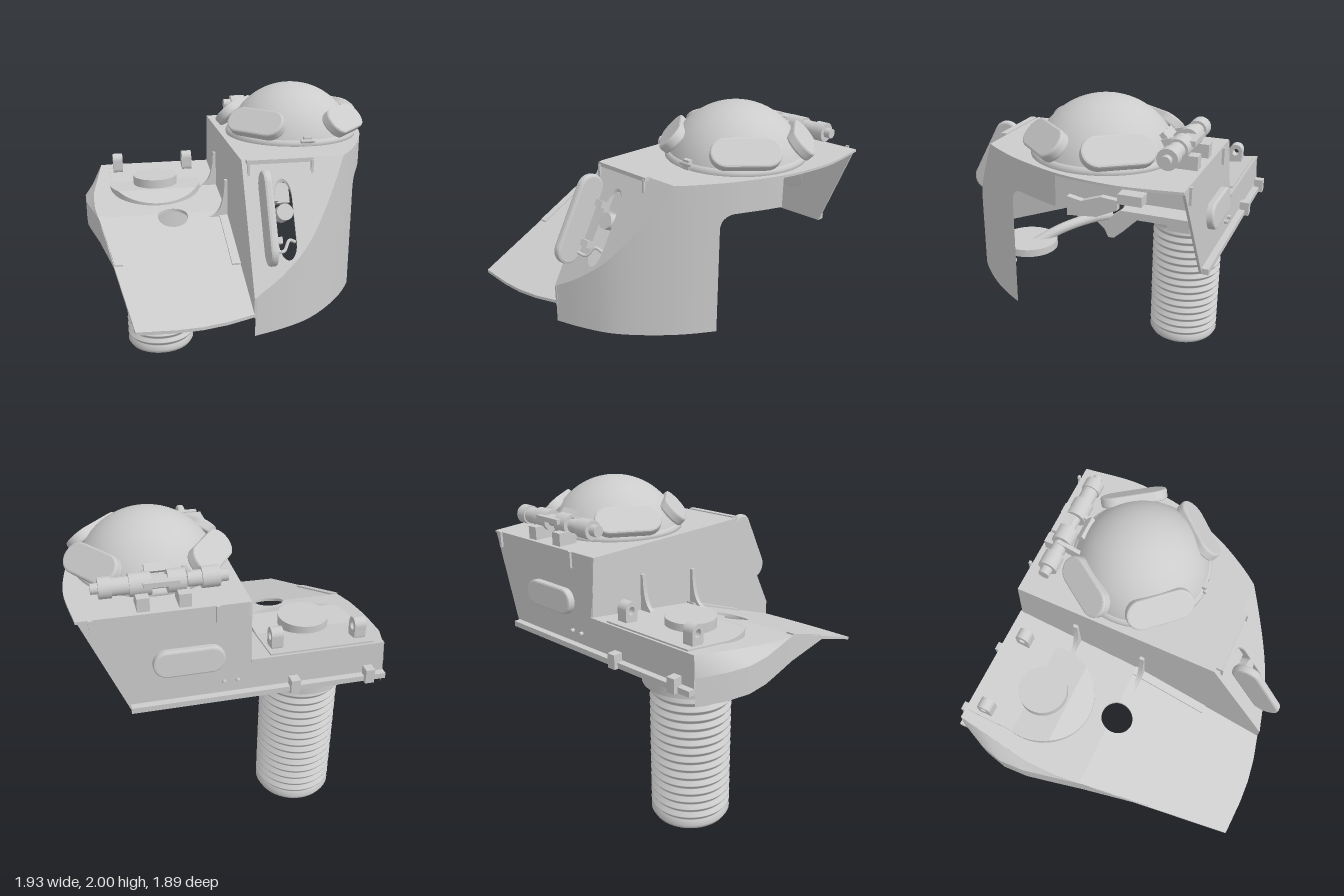
import * as THREE from 'three';

const mat = new THREE.MeshStandardMaterial({ color: 0xcccccc, side: THREE.DoubleSide });
const V = (x, y, z) => new THREE.Vector3(x, y, z);

export function createModel() {
  const root = new THREE.Group();

  const add = (name, geo, x = 0, y = 0, z = 0, rx = 0, ry = 0, rz = 0) => {
    const m = new THREE.Mesh(geo, mat);
    m.name = name;
    m.position.set(x, y, z);
    m.rotation.set(rx, ry, rz);
    root.add(m);
    return m;
  };
  const box = (name, w, h, d, x, y, z, rx = 0) =>
    add(name, new THREE.BoxGeometry(w, h, d), x, y, z, rx);
  const cyl = (name, r, h, x, y, z, rx = 0, rz = 0) =>
    add(name, new THREE.CylinderGeometry(r, r, h, 40), x, y, z, rx, 0, rz);
  const tube = (name, pts, r) =>
    add(name, new THREE.TubeGeometry(new THREE.CatmullRomCurve3(pts.map(p => V(...p))), 20, r, 10));

  // Plate drawn in plan as [x, z] points, its top raised to f(z)
  const plate = (name, pts, t, f, holes = []) => {
    const shape = new THREE.Shape(pts.map(([x, z]) => new THREE.Vector2(x, -z)));
    shape.holes = holes;
    const g = new THREE.ExtrudeGeometry(shape, { depth: t, bevelEnabled: false, curveSegments: 24 });
    g.rotateX(-Math.PI / 2);
    const p = g.attributes.position;
    for (let i = 0; i < p.count; i++) p.setY(i, p.getY(i) - t + f(p.getZ(i)));
    g.computeVertexNormals();
    return add(name, g);
  };
  // Plate drawn in the side plane as [z, y] points, thickness along x
  const sidePlate = (name, pts, t, x) => {
    const shape = new THREE.Shape(pts.map(([z, y]) => new THREE.Vector2(-z, y)));
    const g = new THREE.ExtrudeGeometry(shape, { depth: t, bevelEnabled: false });
    return add(name, g.rotateY(Math.PI / 2), x);
  };
  // Open skin through rows of [x, y, z] points
  const skin = (name, rows) => {
    const n = rows[0].length, idx = [];
    for (let i = 0; i + 1 < rows.length; i++)
      for (let j = 0; j + 1 < n; j++) {
        const a = i * n + j, b = a + n;
        idx.push(a, b, a + 1, b, b + 1, a + 1);
      }
    const g = new THREE.BufferGeometry();
    g.setAttribute('position', new THREE.Float32BufferAttribute(rows.flat(2), 3));
    g.setIndex(idx);
    g.computeVertexNormals();
    return add(name, g);
  };
  // Rounded slot outline, long axis along x (or y when upright)
  const slot = (Kind, cx, cy, len, w, upright = false) => {
    const r = w / 2, h = len / 2 - r, s = new Kind(), q = upright ? Math.PI / 2 : 0;
    const ux = upright ? 0 : h, uy = upright ? h : 0;
    s.absarc(cx + ux, cy + uy, r, q - Math.PI / 2, q + Math.PI / 2, false);
    s.absarc(cx - ux, cy - uy, r, q + Math.PI / 2, q + Math.PI * 1.5, false);
    s.closePath();
    return s;
  };
  const capsule = (len, w, d, bevel = 0.012) => new THREE.ExtrudeGeometry(
    slot(THREE.Shape, 0, 0, len - 2 * bevel, w - 2 * bevel),
    { depth: d - 2 * bevel, bevelSize: bevel, bevelThickness: bevel, bevelSegments: 2, curveSegments: 16 }
  ).translate(0, 0, bevel - d / 2);
  const range = (a, b, n) => Array.from({ length: n + 1 }, (_, i) => a + (b - a) * i / n);
  const arc = (cx, cz, r, a, b) => range(a, b, 32).map(t => [cx + r * Math.cos(t), cz + r * Math.sin(t)]);

  // Plan outline of the cabin's curved side
  const outline = new THREE.CatmullRomCurve3([
    [-0.03, 0.88], [0.15, 0.82], [0.34, 0.725], [0.59, 0.49], [0.75, 0.26], [0.83, 0.1],
    [0.91, -0.1], [0.95, -0.3], [0.965, -0.5], [0.925, -0.84]
  ].map(([x, z]) => V(x, 0, z))).getPoints(150);
  const sideX = z => {
    const i = Math.max(1, outline.findIndex(p => p.z <= z)), a = outline[i - 1], b = outline[i];
    return a.x + (b.x - a.x) * THREE.MathUtils.clamp((a.z - z) / (a.z - b.z), 0, 1);
  };
  const ROOF = 1.665;
  const slope = z => 0.95 + (0.88 - z) * (ROOF - 0.95) / 0.4;

  // Cabin wall, with a stepped and rounded lower edge
  const bottom = z => z >= 0.26 ? 0.705 : z > 0.18 ? 1.39 + Math.sqrt(0.0064 - (z - 0.18) ** 2) : 1.47;
  const zs = [...range(0.88, 0.48, 30), ...range(0.47, 0.26, 10), ...range(0.2599, 0.18, 8), ...range(0.17, -0.1, 10)];
  skin('cabinWall', zs.map(z => [[sideX(z), bottom(z), z], [sideX(z), Math.min(ROOF, slope(z)), z]]));

  // Sloped front with its viewing slot, and the roof with the dome opening
  plate('slopedFront', [[-0.03, 0.48], ...range(0.48, 0.879, 24).map(z => [sideX(z), z]), [-0.03, 0.88]],
    0.02, slope, [slot(THREE.Path, 0.195, -0.66, 0.24, 0.11, true)]);
  const ring = new THREE.Path();
  ring.absarc(0.445, 0.21, 0.41, 0, Math.PI * 2);
  plate('roof', [[-0.03, 0.48], ...range(0.48, -0.83, 40).map(z => [sideX(z), z]), [-0.03, -0.83]],
    0.015, () => ROOF, [ring]);

  // Inner side wall, meeting the deck
  sidePlate('innerWall', [[0.48, ROOF], [0.88, 0.95], [0.88, 0.82], [-0.03, 1.15], [-0.2, 1.14], [-0.875, 1.1], [-0.83, ROOF]], 0.015, -0.035);

  // Leaning back wall with the strip behind the deck
  const back = new THREE.ExtrudeGeometry(new THREE.Shape([
    [-0.85, 1.09], [0.67, 1.09], [0.92, ROOF], [-0.03, ROOF], [-0.03, 1.3], [-0.84, 1.3]
  ].map(p => new THREE.Vector2(...p))), { depth: 0.015, bevelEnabled: false });
  const bp = back.attributes.position;
  for (let i = 0; i < bp.count; i++) bp.setZ(i, bp.getZ(i) - 0.88 + (bp.getY(i) - 1.1) * 0.09);
  add('backWall', back);
  box('backRail', 1.52, 0.035, 0.05, -0.09, 1.105, -0.895);
  add('backHatch', capsule(0.41, 0.16, 0.06), 0.33, 1.36, -0.87, 0.09);
  for (const x of [-0.74, -0.28]) box('railBracket', 0.055, 0.09, 0.06, x, 1.13, -0.915);
  for (const x of [0.05, 0.13]) cyl('bolt', 0.012, 0.03, x, 1.19, -0.88, Math.PI / 2);
  for (const x of [0.16, 0.85]) box('roofStrap', 0.02, 0.1, 0.015, x, 1.62, -0.845);

  // Deck: steep front part and gentler rear part, sharing a round hole
  const deckY = z => 1.18 - (z + 0.03) * (z > -0.03 ? 0.364 : 0.155);
  plate('deckFront', [[-0.73, 0.935], [-0.5, 0.945], [-0.35, 0.94], [-0.2, 0.92], [-0.03, 0.88], [-0.03, -0.03],
    ...arc(-0.4, 0, 0.1, -0.305, Math.PI + 0.305), [-0.89, -0.03]], 0.02, deckY);
  plate('deckRear', [[-0.89, -0.03], ...arc(-0.4, 0, 0.1, Math.PI + 0.305, Math.PI * 2 - 0.305), [-0.03, -0.03],
    [-0.03, -0.87], [-0.84, -0.87], [-0.91, -0.39], [-0.91, -0.2]], 0.02, deckY);
  plate('deckPanel', [[-0.78, -0.4], [-0.15, -0.4], [-0.15, -0.85], [-0.78, -0.85]], 0.02, z => deckY(z) + 0.01);
  plate('edgeRail', [[-0.81, 0.42], [-0.76, 0.42], [-0.84, -0.03], [-0.89, -0.03]], 0.03, z => deckY(z) + 0.01);
  plate('wallStep', [[-0.09, -0.03], [-0.03, -0.03], [-0.03, 0.48], [-0.09, 0.48]], 0.03, z => deckY(z) + 0.012);

  // Side skirt: shoulder and curved drop below the deck edge
  const edge = [[-0.89, 1.18, -0.03, -0.89], [-0.91, 1.206, -0.2, -0.925], [-0.91, 1.236, -0.39, -0.962],
    [-0.887, 1.26, -0.55, -0.968], [-0.865, 1.284, -0.7, -0.93], [-0.84, 1.31, -0.87, -0.85]];
  skin('skirtShoulder', edge.map(([x, y, z, o]) => [[x, y, z], [o, 1.18, z]]));
  skin('skirt', [[[-0.80, 1.0, 0.45], [-0.80, 0.98, 0.45]],
    ...edge.map(([, , z, o]) => [[o, 1.18, z], [o, 1.01, z]])]);

  // Turntable drum, bevelled at the front, with a cap
  plate('turntable', arc(-0.47, -0.48, 0.32, Math.PI - 0.56, Math.PI * 2 + 0.56), 0.1, () => 1.27);
  plate('turntableBevel', arc(-0.47, -0.48, 0.32, 0.56, Math.PI - 0.56), 0.1, z => 1.27 - (z + 0.31) * 0.364);
  cyl('turntableCap', 0.155, 0.09, -0.47, 1.285, -0.48);

  // Lifting eyes
  for (const x of [-0.72, -0.21]) {
    const eye = slot(THREE.Shape, 0, 0, 0.15, 0.09, true);
    eye.holes.push(slot(THREE.Path, 0, 0.02, 0.05, 0.045, true));
    const g = new THREE.ExtrudeGeometry(eye, { depth: 0.07, bevelEnabled: false }).translate(0, 0, -0.035).rotateY(Math.PI / 2);
    add('liftingEye', g, x, 1.35, -0.74);
  }

  // Curved gussets between deck and inner wall
  for (const [z, y0, y1] of [[-0.46, 1.24, 1.48], [0, 1.16, 1.41]]) {
    const s = new THREE.Shape();
    s.moveTo(-0.18, y0);
    s.bezierCurveTo(-0.1, y0, -0.06, y0 + 0.05, -0.055, y1);
    s.lineTo(-0.03, y1);
    s.lineTo(-0.03, y0);
    add('gusset', new THREE.ExtrudeGeometry(s, { depth: 0.03, bevelEnabled: false }), 0, 0, z);
  }

  // Threaded hollow column and collar
  const prof = [[0.2, 0.93], [0.2, 0.02], [0.215, 0], [0.232, 0], [0.25, 0.03]];
  for (let y = 0.06; y < 0.9; y += 0.056) prof.push([0.23, y], [0.23, y + 0.006], [0.25, y + 0.028], [0.25, y + 0.034]);
  prof.push([0.23, 0.93]);
  add('column', new THREE.LatheGeometry(prof.map(p => new THREE.Vector2(...p)), 48), -0.47, 0, -0.48);
  cyl('collar', 0.295, 0.28, -0.47, 1.07, -0.48);
  box('collarBox', 0.1, 0.14, 0.16, -0.2, 1.0, -0.5);
  cyl('skirtKnob', 0.035, 0.07, -0.82, 0.97, -0.5, 0, Math.PI / 2);

  // Dome on its base ring
  const R = 0.44;
  add('dome', new THREE.SphereGeometry(R, 64, 24, 0, Math.PI * 2, 0, Math.acos(0.105 / R)), 0.445, 2 - R, -0.21);
  add('domeRing', new THREE.LatheGeometry([[0.41, 1.65], [0.44, 1.65], [0.44, 1.685], [0.42, 1.7], [0.41, 1.7], [0.41, 1.65]]
    .map(p => new THREE.Vector2(...p)), 64), 0.445, 0, -0.21);

  // Four armoured pads around the dome
  for (const side of [-1, 1])
    for (const [dx, z, tx, tz] of [[0.335, -0.415, 0.57, 0.82], [0.285, 0.035, 0.67, -0.74]]) {
      const t = V(tx * side, 0, tz);
      const n = V(Math.abs(tz) * side * 0.72, 0.69, (z < -0.2 ? -1 : 1) * tx * 0.72).normalize();
      const pad = add('domePad', capsule(0.42, 0.19, 0.065, 0.012));
      pad.quaternion.setFromRotationMatrix(new THREE.Matrix4().makeBasis(t, n.clone().cross(t), n));
      pad.position.set(0.445 + dx * side, 1.775, z).addScaledVector(n, 0.012);
    }
  box('domeLatch', 0.05, 0.07, 0.03, 0.445, 1.69, 0.22);
  cyl('latchPin', 0.012, 0.09, 0.445, 1.7, 0.23, 0, Math.PI / 2);
  box('domeBackTab', 0.15, 0.03, 0.05, 0.445, 1.81, -0.585, -0.8);

  // Spring hinge behind the dome
  for (const [x, r, w] of [[0.1, 0.035, 0.06], [0.17, 0.06, 0.1], [0.25, 0.045, 0.1], [0.36, 0.065, 0.1],
    [0.46, 0.035, 0.12], [0.56, 0.065, 0.12], [0.67, 0.05, 0.12], [0.75, 0.06, 0.07], [0.8, 0.03, 0.05]])
    cyl('hingeBarrel', r, w, x, 1.775, -0.69, 0, Math.PI / 2);
  for (const x of [0.33, 0.56]) {
    box('hingeFoot', 0.07, 0.09, 0.13, x, 1.7, -0.74);
    box('hingeArm', 0.025, 0.07, 0.2, x - 0.04, 1.77, -0.61, 0.25);
  }
  box('hingeBridge', 0.2, 0.03, 0.09, 0.45, 1.8, -0.73);

  // Open hatch lid beside the viewing slot, with its hinges
  add('hatchLid', capsule(0.56, 0.18, 0.05, 0.015).rotateZ(1.07).rotateY(Math.PI / 2), 0.07, 1.39, 0.75);
  for (const y of [1.24, 1.46]) {
    const z = 0.88 - (y - 0.95) * 0.56;
    box('hatchHinge', 0.09, 0.04, 0.06, 0.11, y, z + 0.02, -0.5);
    cyl('hingePin', 0.012, 0.1, 0.1, y, z + 0.03, 0, Math.PI / 2);
  }
  tube('hatchHandle', [[0.11, 1.2, 0.8], [0.16, 1.19, 0.78], [0.2, 1.24, 0.74], [0.24, 1.22, 0.72]], 0.01);
  // Periscope behind the slot
  cyl('periscope', 0.05, 0.12, 0.195, 1.36, 0.6, 1.1);
  box('periscopeMount', 0.09, 0.12, 0.06, 0.195, 1.46, 0.53, -0.5);
  // Rain rail over the slot
  box('rainRail', 0.41, 0.025, 0.04, 0.195, 1.66, 0.5);
  for (const x of [0, 0.39]) box('railEnd', 0.015, 0.09, 0.015, x, 1.615, 0.52);

  // Cabin interior: seat, support arm, fittings
  cyl('seat', 0.19, 0.05, 0.25, 0.87, 0.43);
  sidePlate('supportArm', [[0.25, 1.02], [0.25, 0.93], [0.11, 0.93], [0.04, 0.87], [0.01, 0.81], [-0.03, 0.81],
    [-0.1, 0.87], [-0.2, 0.97], [-0.24, 1.08], [-0.12, 1.14], [-0.1, 1.04], [0, 0.96], [0.1, 1.0]], 0.06, -0.2);
  sidePlate('footrest', [[0.25, 1.15], [0.14, 1.13], [0, 1.18], [-0.12, 1.17], [-0.12, 1.1], [0.03, 1.03], [0.25, 1.01]], 0.05, -0.02);
  tube('seatArm', [[0.25, 0.86, 0.4], [0.1, 0.94, 0.25], [-0.08, 0.97, 0.1], [-0.18, 0.97, 0]], 0.035);
  box('shelf', 0.16, 0.05, 0.66, 0.06, 1.13, -0.52);
  box('shelfBox', 0.1, 0.07, 0.17, 0.04, 1.21, -0.23);
  cyl('wallDisc', 0.085, 0.03, 0, 1.375, -0.73, 0, Math.PI / 2);
  box('roofFitting', 0.06, 0.05, 0.24, 0.01, 1.63, -0.53);
  box('sideLever', 0.05, 0.02, 0.2, 0.02, 1.535, -0.2);
  tube('pedalRod', [[0.19, 0.86, 0.6], [0.19, 0.76, 0.61], [0.185, 0.67, 0.6]], 0.01);
  add('pedalKnob', new THREE.SphereGeometry(0.022, 16, 12), 0.185, 0.665, 0.6);
  return root;
}
